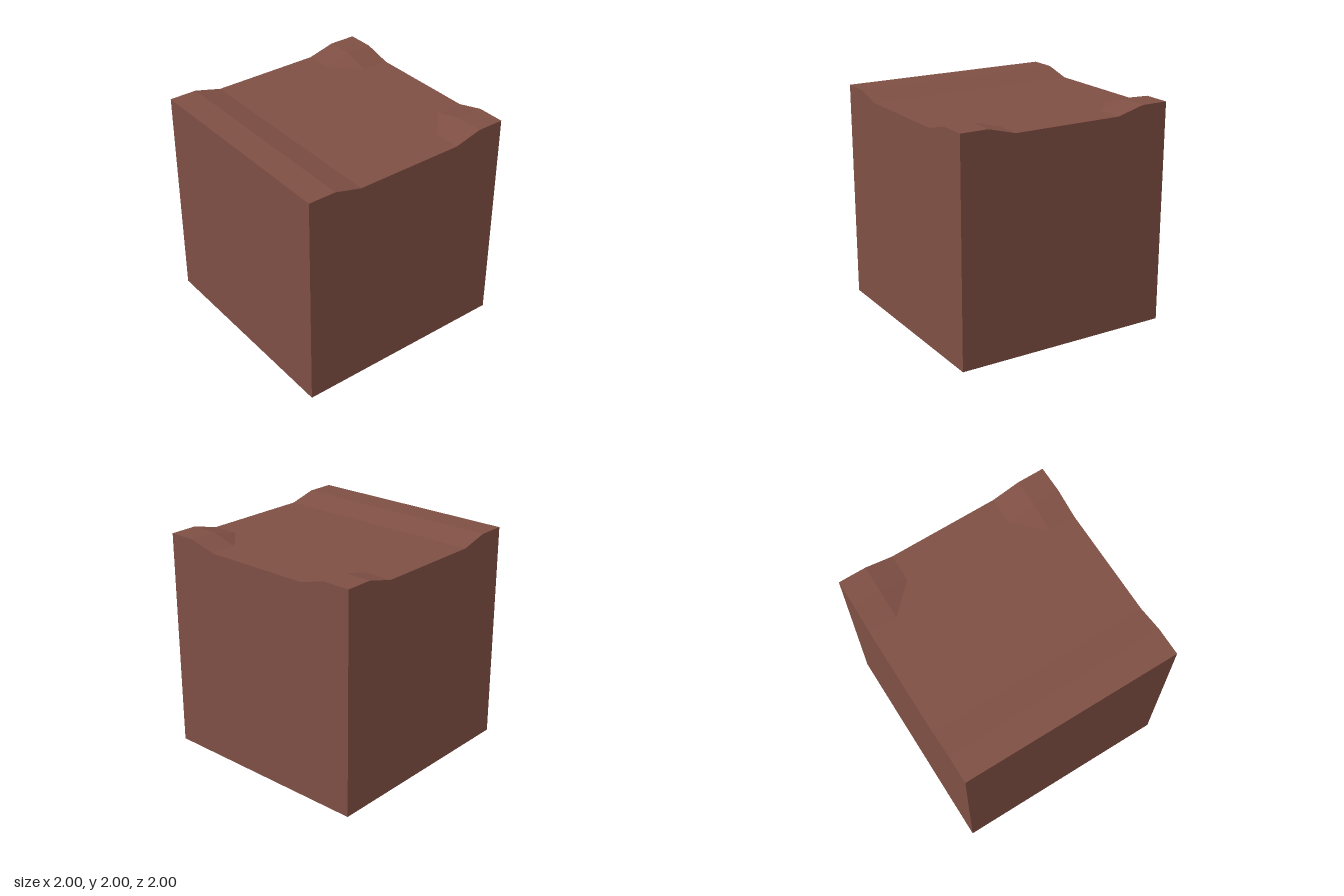
import * as THREE from 'three';
import { ConvexGeometry } from 'three/addons/geometries/ConvexGeometry.js';

const HIGH = 2, LOW = 1.934;

export function createModel() {
  const group = new THREE.Group();
  group.name = 'earthBlock';
  const earth = new THREE.MeshStandardMaterial({ color: 0x7f4f44, flatShading: true });
  earth.name = 'earthBrown';

  // Cube with a raised ridge along the front: side profile as (z, y), swept across x
  const profile = new THREE.Shape([
    [-1, 0], [1, 0], [1, HIGH], [0.75, HIGH], [0.5, LOW], [-1, LOW],
  ].map(([z, y]) => new THREE.Vector2(z, y)));
  const bodyGeometry = new THREE.ExtrudeGeometry(profile, { depth: 2, bevelEnabled: false });
  bodyGeometry.rotateY(-Math.PI / 2).translate(1, 0, 0);
  const body = new THREE.Mesh(bodyGeometry, earth);
  body.name = 'blockWithFrontRidge';
  group.add(body);

  // Raised back corners with sloping inner sides
  const top = [[1, -1], [0.75, -1], [0.75, -0.75], [1, -0.75]];
  const foot = [[1, -1], [0.5, -1], [0.5, -0.75], [0.75, -0.5], [1, -0.5]];
  for (const [side, name] of [[1, 'leftBackCorner'], [-1, 'rightBackCorner']]) {
    const points = [
      ...top.map(([x, z]) => new THREE.Vector3(side * x, HIGH, z)),
      ...foot.map(([x, z]) => new THREE.Vector3(side * x, LOW, z)),
    ];
    const corner = new THREE.Mesh(new ConvexGeometry(points), earth);
    corner.name = name;
    group.add(corner);
  }
  return group;
}
